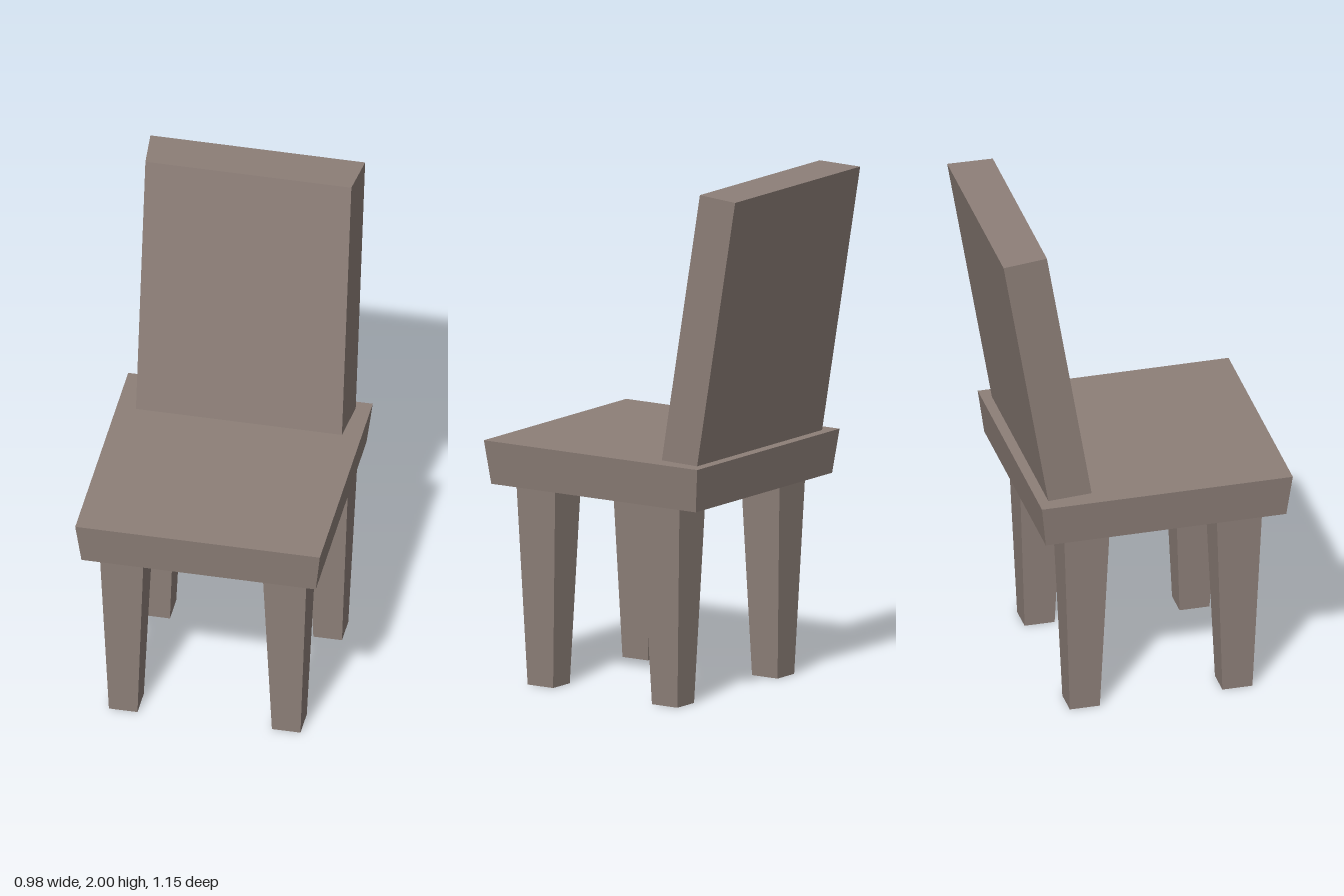
import * as THREE from 'three';

const material = new THREE.MeshStandardMaterial({ color: 0x8d7f78, flatShading: true });

// A unit box whose corners (each coordinate -1 or 1) are placed by a rule.
function block(name, rule) {
  const geometry = new THREE.BoxGeometry(2, 2, 2);
  const p = geometry.attributes.position;
  for (let i = 0; i < p.count; i++) {
    p.setXYZ(i, ...rule(p.getX(i), p.getY(i), p.getZ(i)));
  }
  geometry.computeVertexNormals();
  const mesh = new THREE.Mesh(geometry, material);
  mesh.name = name;
  return mesh;
}

// Block that tapers from a bottom [width, depth] to a top [width, depth].
function tapered(name, x, z, y0, y1, bottom, top) {
  return block(name, (sx, sy, sz) => {
    const [w, d] = sy > 0 ? top : bottom;
    return [x + sx * w / 2, sy > 0 ? y1 : y0, z + sz * d / 2];
  });
}

export function createModel() {
  const chair = new THREE.Group();
  chair.name = 'chair';

  // Seat, slightly wider at its top
  chair.add(tapered('seat', 0, 0.065, 0.78, 0.95, [0.91, 0.946], [0.95, 0.987]));

  // Backrest leans back and is narrower across its front face
  chair.add(block('backrest', (sx, sy, sz) => {
    const halfWidth = sz > 0 ? 0.4 : 0.417;
    const lean = sy > 0 ? -0.176 : 0;
    const y = sy < 0 ? 0.95 : sz > 0 ? 2 : 1.993;
    return [sx * halfWidth, y, (sz > 0 ? -0.213 : -0.388) + lean];
  }));

  // Legs taper towards the floor; one back leg stands further out
  const legs = [
    ['frontLeftLeg', 0.317, 0.368],
    ['frontRightLeg', -0.316, 0.368],
    ['backLeftLeg', 0.353, -0.232],
    ['backRightLeg', -0.315, -0.232],
  ];
  for (const [name, x, z] of legs) {
    chair.add(tapered(name, x, z, 0, 0.78, [0.111, 0.118], [0.172, 0.179]));
  }

  // The whole chair is turned a little
  chair.rotation.y = -0.033;
  const model = new THREE.Group();
  model.add(chair);
  return model;
}
